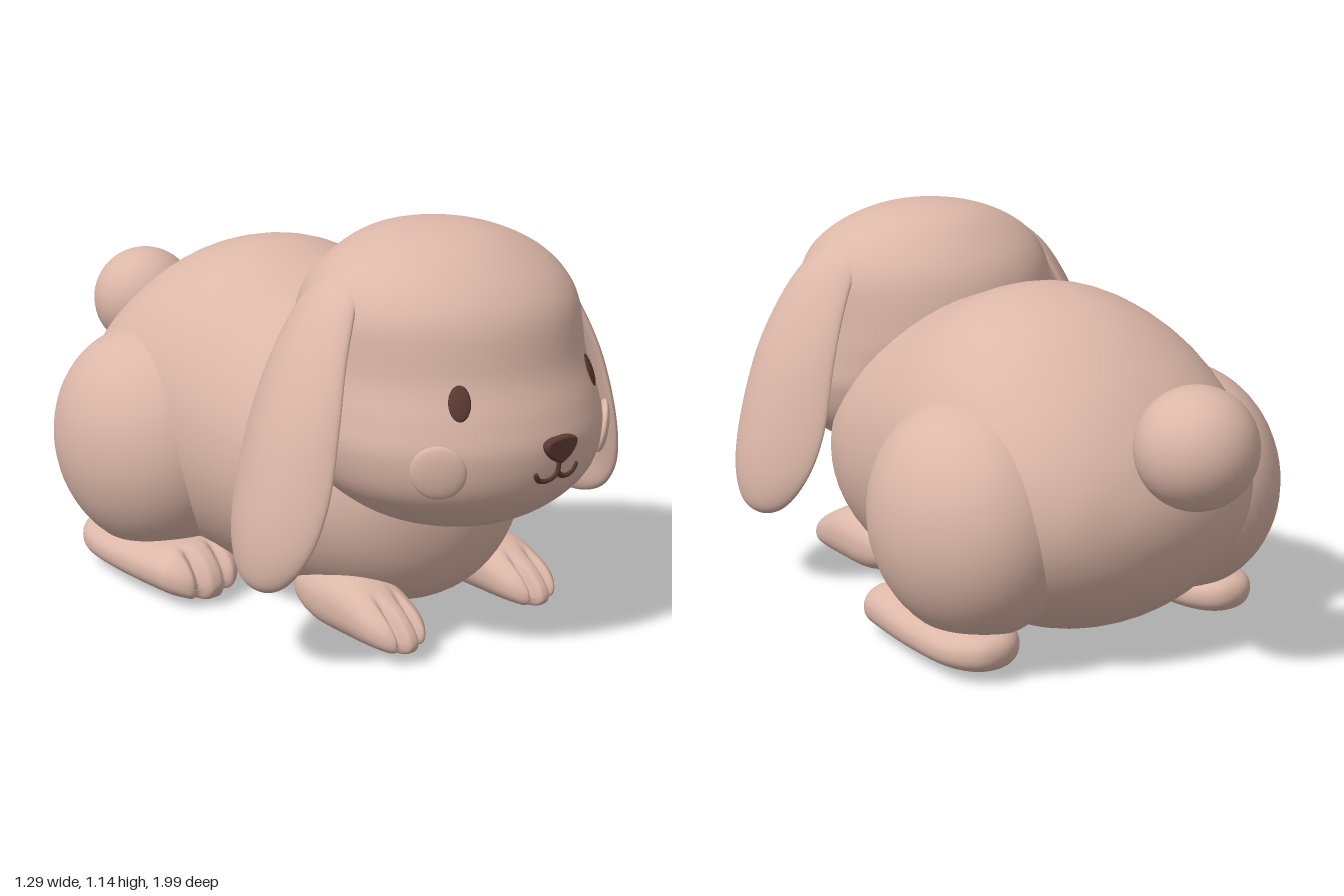
import * as THREE from 'three';

const skin = new THREE.MeshStandardMaterial({ color: 0xdcb7a8 });
skin.name = 'skin';
const brown = new THREE.MeshStandardMaterial({ color: 0x5c3a33 });
brown.name = 'brown';

// Smooth closed form through elliptical sections [z, centreX, centreY, radiusX, radiusY], z falling.
// Both ends are round poles; power above 2 squares the sections off.
function loft(keys, power = 2, seg = 56, steps = 7) {
  const pole = (k) => [k[0], k[1], k[2], -k[3], -k[4]];
  const n = keys.length;
  const all = [pole(keys[1]), ...keys, pole(keys[n - 2])];
  const rings = [];
  for (let i = 0; i < n - 1; i++) {
    for (let s = 0; s < steps + (i === n - 2 ? 1 : 0); s++) {
      const t = s / steps;
      rings.push(all[i + 1].map((p1, c) => {
        const p0 = all[i][c], p2 = all[i + 2][c], p3 = all[i + 3][c];
        return p1 + 0.5 * t * (p2 - p0 + t * (2 * p0 - 5 * p1 + 4 * p2 - p3 + t * (3 * (p1 - p2) + p3 - p0)));
      }));
    }
  }
  const pos = [], index = [];
  const round = (v) => Math.sign(v) * Math.abs(v) ** (2 / power);
  rings.forEach(([z, cx, cy, rx, ry], i) => {
    for (let j = 0; j < seg; j++) {
      const a = (j / seg) * Math.PI * 2;
      pos.push(cx + rx * round(Math.cos(a)), cy + ry * round(Math.sin(a)), z);
      if (i < rings.length - 1) {
        const p = i * seg + j, q = i * seg + ((j + 1) % seg);
        index.push(p, p + seg, q, q, p + seg, q + seg);
      }
    }
  });
  const g = new THREE.BufferGeometry();
  g.setAttribute('position', new THREE.Float32BufferAttribute(pos, 3));
  g.setIndex(index);
  g.computeVertexNormals();
  return g;
}

// Same, stacked downwards from sections [y, centreX, centreZ, radiusX, radiusZ]
function loftDown(keys) {
  return loft(keys.map(([y, cx, cz, rx, rz]) => [y, cx, -cz, rx, rz])).rotateX(-Math.PI / 2);
}

function bend(g, rule) {
  const p = g.attributes.position, v = new THREE.Vector3();
  for (let i = 0; i < p.count; i++) {
    rule(v.fromBufferAttribute(p, i));
    p.setXYZ(i, v.x, v.y, v.z);
  }
  g.computeVertexNormals();
  return g;
}

// Paw with two grooves between three toes at its front end
function paw(keys, halfWidth, grooveX) {
  const tip = keys[0][0];
  return bend(loft(keys, 2.3, 96, 9), (v) => {
    const front = THREE.MathUtils.smoothstep(v.z, tip - 0.16, tip - 0.02);
    const groove = Math.exp(-(((Math.abs(v.x) - grooveX) / (halfWidth * 0.11)) ** 2));
    v.z -= 0.03 * groove * front;
    v.y -= 0.012 * groove * front * (v.y > 0.06 ? 1 : 0);
  });
}

export function createModel() {
  const model = new THREE.Group();
  const add = (name, geometry, material = skin) => {
    const m = new THREE.Mesh(geometry, material);
    m.name = name;
    model.add(m);
    return m;
  };

  add('body', loft([
    [0.68, 0, 0.36, 0, 0], [0.64, 0, 0.385, 0.2, 0.2], [0.54, 0, 0.405, 0.33, 0.32],
    [0.36, 0, 0.43, 0.415, 0.4], [0.13, 0, 0.465, 0.46, 0.455], [-0.12, 0, 0.4975, 0.485, 0.4925],
    [-0.36, 0, 0.4925, 0.48, 0.4575], [-0.55, 0, 0.47, 0.43, 0.36], [-0.68, 0, 0.455, 0.315, 0.235],
    [-0.745, 0, 0.455, 0.16, 0.11], [-0.765, 0, 0.455, 0, 0],
  ]));

  const head = add('head', loftDown([
    [1.143, 0, 0.5, 0, 0], [1.12, 0, 0.5, 0.17, 0.16], [1.05, 0, 0.513, 0.315, 0.272],
    [0.95, 0, 0.52, 0.385, 0.355], [0.8, 0, 0.523, 0.4, 0.392], [0.7, 0, 0.547, 0.417, 0.408],
    [0.61, 0, 0.567, 0.424, 0.408], [0.5, 0, 0.585, 0.385, 0.365], [0.41, 0, 0.595, 0.28, 0.265],
    [0.36, 0, 0.6, 0.15, 0.145], [0.34, 0, 0.6, 0, 0],
  ]));

  add('tail', new THREE.SphereGeometry(0.164, 40, 28)).position.set(0, 0.677, -0.836);

  // Find the face surface in front of (x, y)
  const ray = new THREE.Raycaster();
  const onFace = (x, y) => {
    ray.set(new THREE.Vector3(x, y, 2), new THREE.Vector3(0, 0, -1));
    return ray.intersectObject(head)[0];
  };
  const facePatch = (name, x, y, w, h, depth, material) => {
    const hit = onFace(x, y);
    const m = add(name, new THREE.SphereGeometry(1, 32, 20).scale(w, h, depth), material);
    m.position.copy(hit.point);
    m.lookAt(hit.point.clone().add(hit.face.normal));
  };

  for (const side of [1, -1]) {
    const label = side > 0 ? 'left' : 'right';

    // Hanging ear, cupped around the head
    const ear = loftDown([
      [1.06, 0.27, 0.48, 0, 0], [1.04, 0.3, 0.48, 0.03, 0.06], [0.97, 0.375, 0.485, 0.038, 0.115],
      [0.85, 0.455, 0.49, 0.038, 0.155], [0.7, 0.525, 0.495, 0.038, 0.188], [0.52, 0.58, 0.495, 0.036, 0.204],
      [0.38, 0.608, 0.495, 0.034, 0.178], [0.28, 0.61, 0.495, 0.028, 0.105], [0.245, 0.605, 0.495, 0, 0],
    ].map(([y, x, ...rest]) => [y, x * side, ...rest]));
    add(label + 'Ear', bend(ear, (v) => {
      const d = v.z - 0.495;
      v.x += side * (0.12 * d - 1.6 * d * d);
    }));

    // Hind leg
    add(label + 'Haunch', new THREE.SphereGeometry(1, 48, 32).scale(0.27, 0.335, 0.335))
      .position.set(side * 0.355, 0.41, -0.31);
    add(label + 'HindFoot', paw([
      [0.065, 0, 0.062, 0, 0], [0.045, 0, 0.068, 0.075, 0.045], [0, 0, 0.084, 0.12, 0.066],
      [-0.06, 0, 0.09, 0.135, 0.074], [-0.25, 0, 0.085, 0.138, 0.068], [-0.42, 0, 0.085, 0.122, 0.062],
      [-0.51, 0, 0.088, 0.07, 0.045], [-0.535, 0, 0.09, 0, 0],
    ], 0.135, 0.045)).position.x = side * 0.405;

    // Front paw
    add(label + 'FrontPaw', paw([
      [0.72, 0, 0.06, 0, 0], [0.7, 0, 0.067, 0.055, 0.034], [0.64, 0, 0.088, 0.088, 0.06],
      [0.52, 0, 0.112, 0.097, 0.086], [0.38, 0, 0.11, 0.085, 0.08], [0.28, 0, 0.11, 0.05, 0.045],
      [0.25, 0, 0.11, 0, 0],
    ], 0.097, 0.032)).position.x = side * 0.252;

    facePatch(label + 'Eye', side * 0.24, 0.76, 0.029, 0.047, 0.009, brown);
    facePatch(label + 'Cheek', side * 0.305, 0.59, 0.072, 0.073, 0.018, skin);
  }

  // Rounded triangular nose
  const shape = new THREE.Shape();
  shape.moveTo(0, 0.592);
  shape.bezierCurveTo(0.02, 0.596, 0.055, 0.625, 0.048, 0.64);
  shape.bezierCurveTo(0.04, 0.652, -0.04, 0.652, -0.048, 0.64);
  shape.bezierCurveTo(-0.055, 0.625, -0.02, 0.596, 0, 0.592);
  add('nose', new THREE.ExtrudeGeometry(shape, {
    depth: 0.022, bevelEnabled: true, bevelThickness: 0.008, bevelSize: 0.007, bevelSegments: 4, curveSegments: 12,
  }), brown).position.z = 0.959;

  // Mouth lines laid on the face, with rounded ends
  const line = (name, pts) => {
    const path = pts.map(([x, y]) => onFace(x, y).point);
    add(name, new THREE.TubeGeometry(new THREE.CatmullRomCurve3(path), 32, 0.0075, 10), brown);
    for (const p of [path[0], path[path.length - 1]]) {
      add(name + 'End', new THREE.SphereGeometry(0.0075, 12, 8), brown).position.copy(p);
    }
  };
  line('mouthStem', [[0, 0.6], [0, 0.58], [0, 0.56]]);
  for (const s of [1, -1]) {
    line('mouthCurve', [[0, 0.562], [s * 0.012, 0.547], [s * 0.038, 0.54], [s * 0.063, 0.547], [s * 0.074, 0.562]]);
  }
  return model;
}
